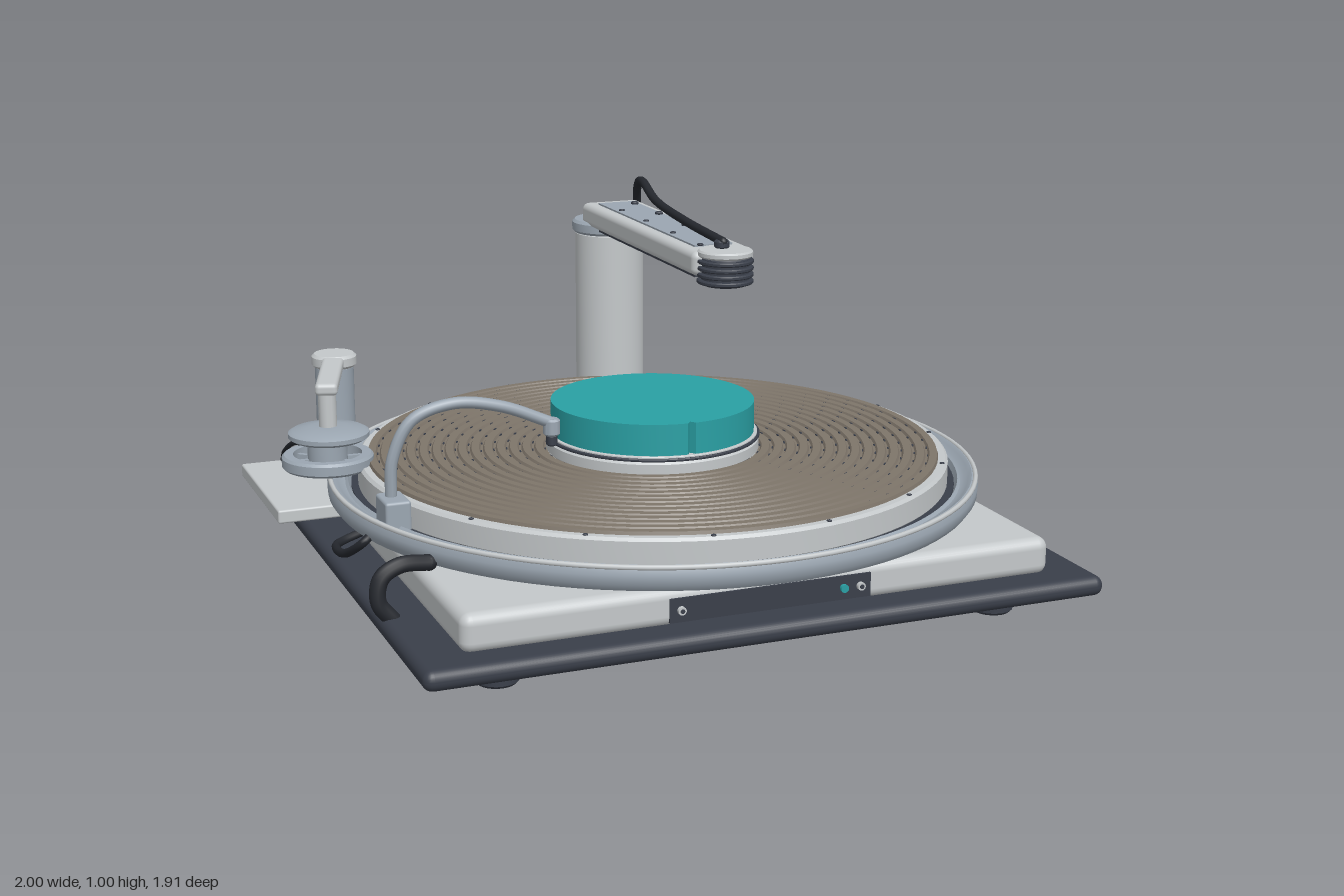
import * as THREE from 'three';
import { mergeGeometries, toCreasedNormals } from 'three/addons/utils/BufferGeometryUtils.js';
import { RoundedBoxGeometry } from 'three/addons/geometries/RoundedBoxGeometry.js';

const mat = (name, color) => {
  const m = new THREE.MeshStandardMaterial({ color });
  m.name = name;
  return m;
};

export function createModel() {
  const light = mat('light grey', 0xc4c8ca);
  const steel = mat('blue steel', 0x9ba6b1);
  const slate = mat('dark slate', 0x3a3f4a);
  const black = mat('black rubber', 0x25282e);
  const brown = mat('brown grey', 0x7e756a);
  const teal = mat('teal', 0x2aa0a4);

  const model = new THREE.Group();
  model.name = 'rotaryTable';
  const group = (name, x = 0, y = 0, z = 0) => {
    const g = new THREE.Group();
    g.name = name;
    g.position.set(x, y, z);
    model.add(g);
    return g;
  };
  const add = (parent, name, geo, material, x = 0, y = 0, z = 0) => {
    const m = new THREE.Mesh(geo, material);
    m.name = name;
    m.position.set(x, y, z);
    parent.add(m);
    return m;
  };
  // Box given by its limits on each axis
  const box = (parent, name, material, [x0, x1], [y0, y1], [z0, z1], r = 0) => {
    const size = [x1 - x0, y1 - y0, z1 - z0];
    const geo = r ? new RoundedBoxGeometry(...size, 3, r) : new THREE.BoxGeometry(...size);
    return add(parent, name, geo, material, (x0 + x1) / 2, (y0 + y1) / 2, (z0 + z1) / 2);
  };
  // Upright turned part with a small bevel
  const lathe = (pts, n = 48) =>
    toCreasedNormals(new THREE.LatheGeometry(pts.map(p => new THREE.Vector2(...p)), n), 0.6);
  const disc = (parent, name, material, r, y0, y1, x = 0, z = 0, n = 40) => {
    const b = Math.min(0.008, (y1 - y0) / 4, r / 4);
    return add(parent, name, lathe([[0, y0], [r - b, y0], [r, y0 + b], [r, y1 - b], [r - b, y1], [0, y1]], n),
      material, x, 0, z);
  };
  const tube = (parent, name, material, r, pts) => {
    const curve = new THREE.CatmullRomCurve3(pts.map(p => new THREE.Vector3(...p)));
    add(parent, name, new THREE.TubeGeometry(curve, pts.length * 8, r, 10), material);
    for (const p of [pts[0], pts[pts.length - 1]])
      add(parent, name + 'End', new THREE.SphereGeometry(r, 10, 8), material, ...p);
  };

  // Base, housing and feet
  const base = group('base');
  box(base, 'basePlate', slate, [-0.88, 1.0], [0.065, 0.12], [-0.91, 0.92], 0.026);
  box(base, 'housing', light, [-0.76, 0.88], [0.112, 0.216], [-0.81, 0.83], 0.03);
  box(base, 'sidePanel', slate, [0.876, 0.884], [0.12, 0.197], [-0.52, 0.56]);
  box(base, 'frontPanel', slate, [-0.22, 0.34], [0.126, 0.19], [0.826, 0.835]);
  for (const [x, m, r] of [[-0.19, light, 0.011], [0.31, light, 0.011], [0.262, teal, 0.011]]) {
    const k = add(base, 'panelKnob', new THREE.CylinderGeometry(r, r, 0.014, 16), m, x, 0.158, 0.838);
    k.rotation.x = Math.PI / 2;
    if (m === light) {
      const hole = add(base, 'knobCentre', new THREE.CylinderGeometry(0.006, 0.006, 0.004, 12), slate, x, 0.158, 0.845);
      hole.rotation.x = Math.PI / 2;
    }
  }
  for (const x of [-0.645, 0.76]) for (const z of [-0.665, 0.74]) {
    disc(base, 'footPad', slate, 0.057, 0, 0.03, x, z, 24);
    disc(base, 'footStem', steel, 0.035, 0.028, 0.07, x, z, 20);
  }

  // Turntable with catch rim, grooved surface and hub
  const table = group('turntable', 0.057, 0, 0.03);
  disc(table, 'bearing', slate, 0.06, 0.205, 0.235);
  add(table, 'catchRim', lathe([[0, 0.226], [0.87, 0.226], [0.905, 0.232], [0.918, 0.25], [0.92, 0.275],
    [0.913, 0.293], [0.902, 0.298], [0.892, 0.292], [0.882, 0.282], [0.87, 0.278], [0.862, 0.285], [0.852, 0.262], [0, 0.262]], 96), steel);
  add(table, 'rimBead', new THREE.TorusGeometry(0.912, 0.007, 8, 96).rotateX(Math.PI / 2), light, 0, 0.295);
  add(table, 'rimGap', lathe([[0.82, 0.266], [0.853, 0.266], [0.853, 0.272], [0.82, 0.272]], 96), slate);
  add(table, 'platter', lathe([[0, 0.266], [0.825, 0.266], [0.834, 0.275], [0.834, 0.335], [0.826, 0.343], [0, 0.343]], 96), light);
  const rings = 14, r0 = 0.3, r1 = 0.808, pitch = (r1 - r0) / rings;
  const grooves = [[r1, 0.34]];
  const dashes = [];
  for (let i = 0; i < rings; i++) {
    const r = r1 - i * pitch;
    grooves.push([r - 0.004, 0.352], [r - pitch * 0.7, 0.352], [r - pitch * 0.82, 0.345], [r - pitch, 0.345]);
    const n = Math.round(r * 75);
    for (let j = 0; j < n; j++) {
      const a = (j + (i % 2) / 2) / n * Math.PI * 2;
      dashes.push(new THREE.BoxGeometry(0.004, 0.003, 0.013).translate(r - pitch * 0.85, 0.347, 0).rotateY(a));
    }
  }
  add(table, 'groovedSurface', lathe(grooves, 96), brown);
  add(table, 'grooveMarks', mergeGeometries(dashes), slate);
  for (let i = 0; i < 16; i++) {
    const a = (i + 0.5) / 16 * Math.PI * 2;
    disc(table, 'rimScrew', slate, 0.007, 0.342, 0.346, Math.cos(a) * 0.82, Math.sin(a) * 0.82, 10);
  }
  disc(table, 'hubBase', light, 0.302, 0.34, 0.384, 0, 0, 64);
  disc(table, 'hubSeam', slate, 0.305, 0.384, 0.392, 0, 0, 64);
  disc(table, 'hubCollar', light, 0.298, 0.39, 0.397, 0, 0, 64);
  const cake = new THREE.Shape();
  cake.absarc(0, 0, 0.288, -Math.PI / 2 + 0.04, Math.PI * 1.5 - 0.04);
  cake.lineTo(0, -0.272);
  cake.closePath();
  add(table, 'hubDisc', toCreasedNormals(new THREE.ExtrudeGeometry(cake, { depth: 0.09, bevelEnabled: false, curveSegments: 64 })
    .rotateX(-Math.PI / 2), 0.5), teal, 0, 0.395);

  // Column and overhead arm
  const arm = group('overheadArm');
  box(arm, 'columnFoot', steel, [0.09, 0.43], [0.115, 0.16], [-0.95, -0.79], 0.008);
  for (const x of [0.13, 0.39]) disc(arm, 'footBolt', slate, 0.018, 0.158, 0.168, x, -0.905, 12);
  disc(arm, 'column', light, 0.108, 0.155, 0.81, 0.26, -0.84);
  disc(arm, 'columnCollar', slate, 0.113, 0.25, 0.26, 0.26, -0.84);
  disc(arm, 'columnCap', steel, 0.118, 0.805, 0.846, 0.26, -0.84);
  box(arm, 'beam', light, [0.165, 0.355], [0.832, 0.902], [-0.84, 0.065], 0.02);
  box(arm, 'beamUnderside', slate, [0.18, 0.34], [0.826, 0.834], [-0.72, 0.04]);
  box(arm, 'beamInset', steel, [0.2, 0.317], [0.9, 0.907], [-0.775, -0.01]);
  for (const z of [-0.11, -0.31, -0.52, -0.72]) {
    disc(arm, 'beamScrew', slate, 0.012, 0.905, 0.915, 0.3, z, 12);
    disc(arm, 'beamScrew', slate, 0.009, 0.905, 0.911, 0.218, z + 0.1, 12);
  }
  disc(arm, 'headCore', slate, 0.068, 0.806, 0.89, 0.258, 0.075);
  for (let i = 0; i < 4; i++) disc(arm, 'headFin', slate, 0.08, 0.812 + i * 0.019, 0.824 + i * 0.019, 0.258, 0.075);
  disc(arm, 'headCap', light, 0.078, 0.887, 0.907, 0.258, 0.075);
  disc(arm, 'cablePlug', slate, 0.022, 0.905, 0.93, 0.258, 0.05, 16);
  tube(arm, 'armCable', black, 0.013, [[0.258, 0.925, 0.06], [0.255, 0.94, -0.2], [0.28, 0.955, -0.5], [0.31, 0.984, -0.68],
    [0.345, 0.95, -0.81], [0.372, 0.84, -0.885], [0.38, 0.6, -0.92], [0.38, 0.35, -0.92], [0.365, 0.17, -0.905]]);

  // Side station: shelf, post, swing arm and ringed tool
  const station = group('sideStation');
  box(station, 'shelf', light, [-1.0, -0.663], [0.2, 0.238], [-0.577, -0.085], 0.006);
  disc(station, 'post', steel, 0.056, 0.235, 0.54, -0.735, -0.48, 28);
  disc(station, 'postCap', light, 0.065, 0.533, 0.572, -0.735, -0.48, 28);
  const from = new THREE.Vector2(-0.735, -0.48), to = new THREE.Vector2(-0.835, -0.16);
  const swing = add(station, 'swingArm', new RoundedBoxGeometry(0.062, 0.034, from.distanceTo(to) + 0.06, 3, 0.012),
    light, -0.785, 0.553, -0.32);
  swing.rotation.y = Math.atan2(to.x - from.x, to.y - from.y);
  disc(station, 'toolShaft', light, 0.025, 0.42, 0.545, to.x, to.y, 20);
  add(station, 'toolHead', lathe([[0, 0.41], [0.1, 0.41], [0.112, 0.418], [0.112, 0.43], [0.1, 0.437], [0.05, 0.445], [0, 0.445]]), steel, -0.835, 0, -0.155);
  disc(station, 'toolCore', steel, 0.055, 0.335, 0.412, -0.84, -0.155, 28);
  add(station, 'toolRing', lathe([[0.095, 0.33], [0.12, 0.33], [0.127, 0.337], [0.127, 0.362], [0.12, 0.369], [0.095, 0.369], [0.095, 0.33]]), steel, -0.84, 0, -0.155);
  for (let i = 0; i < 4; i++) {
    const spoke = add(station, 'ringSpoke', new THREE.BoxGeometry(0.22, 0.012, 0.014), steel, -0.84, 0.35, -0.155);
    spoke.rotation.y = i * Math.PI / 4;
  }
  tube(station, 'toolWire', black, 0.007, [[-0.895, 0.39, -0.2], [-0.91, 0.37, -0.28], [-0.918, 0.33, -0.35], [-0.91, 0.285, -0.42]]);

  // Curved spout over the turntable
  const spout = group('spout');
  box(spout, 'spoutBracket', steel, [-0.8, -0.73], [0.24, 0.35], [0.2, 0.305], 0.008);
  tube(spout, 'spoutTube', steel, 0.016, [[-0.768, 0.34, 0.24], [-0.762, 0.45, 0.243], [-0.71, 0.55, 0.248], [-0.6, 0.588, 0.255],
    [-0.47, 0.57, 0.262], [-0.33, 0.513, 0.27]]);
  disc(spout, 'nozzle', steel, 0.023, 0.478, 0.525, -0.33, 0.27, 18);
  disc(spout, 'nozzleTip', slate, 0.015, 0.45, 0.48, -0.33, 0.27, 16);

  // Hoses on the side
  const hoses = group('hoses');
  tube(hoses, 'drainHose', black, 0.022, [[-0.74, 0.243, 0.49], [-0.82, 0.248, 0.5], [-0.87, 0.22, 0.505], [-0.88, 0.16, 0.51], [-0.845, 0.11, 0.515]]);
  tube(hoses, 'supplyHose', black, 0.012, [[-0.79, 0.26, 0.19], [-0.84, 0.235, 0.24], [-0.87, 0.18, 0.16], [-0.865, 0.145, 0.02],
    [-0.84, 0.135, -0.06], [-0.75, 0.15, -0.1]]);

  return model;
}
